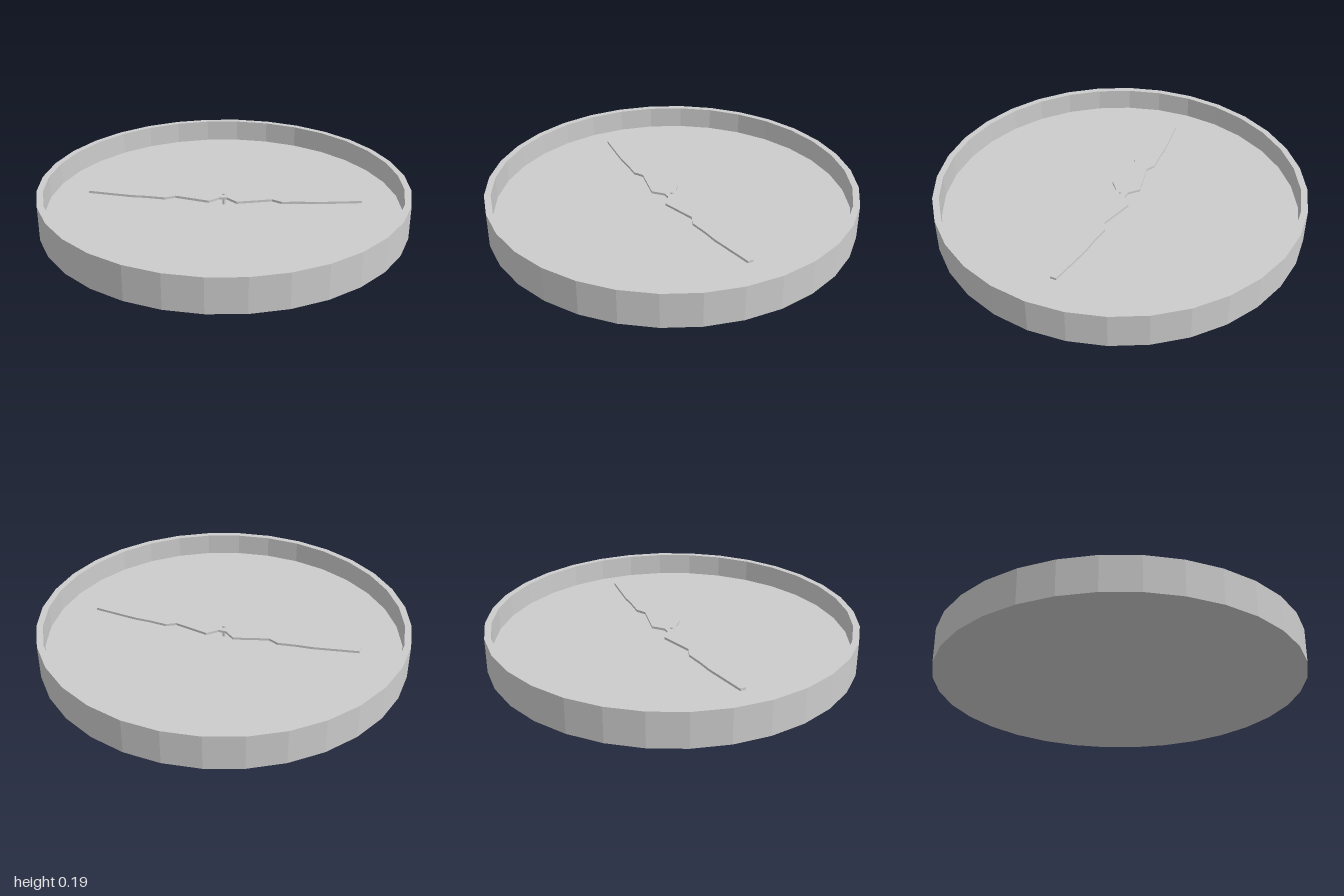
import * as THREE from 'three';

export function createModel() {
  const group = new THREE.Group();
  const grey = new THREE.MeshStandardMaterial({ color: 0xcccccc, flatShading: true });
  grey.name = 'light grey';

  const add = (name, geometry, y = 0) => {
    const mesh = new THREE.Mesh(geometry, grey);
    mesh.name = name;
    mesh.position.y = y;
    group.add(mesh);
  };

  // Shallow 32-sided dish: base, outer wall, rim, inner wall and floor
  const floorY = 0.066;
  const profile = [[0, 0], [1, 0], [1, 0.19], [0.965, 0.19], [0.965, floorY], [0, floorY]]
    .map(([r, y]) => new THREE.Vector2(r, y));
  add('dish', new THREE.LatheGeometry(profile, 32));

  // Thin double-ended needle, mirrored in both axes from one quarter outline
  const quarter = [
    [0.743, 0.016], [0.5, 0.05], [0.417, 0.053], [0.315, 0.064],
    [0.262, 0.037], [0.075, 0.084], [0.02, 0.036],
  ];
  const back = [...quarter].reverse();
  const outline = [
    ...quarter,
    ...back.map(([x, z]) => [-x, z]),
    ...quarter.map(([x, z]) => [-x, -z]),
    ...back.map(([x, z]) => [x, -z]),
  ].map(([x, z]) => new THREE.Vector2(x, z));
  const thickness = 0.013;
  const needle = new THREE.ExtrudeGeometry(new THREE.Shape(outline), {
    depth: thickness, bevelEnabled: false,
  });
  needle.rotateX(-Math.PI / 2);
  add('needle', needle, 0.109);

  // Pivot pin carrying the needle above the floor
  const pinTop = 0.13;
  add('pivotPin', new THREE.CylinderGeometry(0.008, 0.008, pinTop - floorY, 12), (pinTop + floorY) / 2);

  return group;
}
